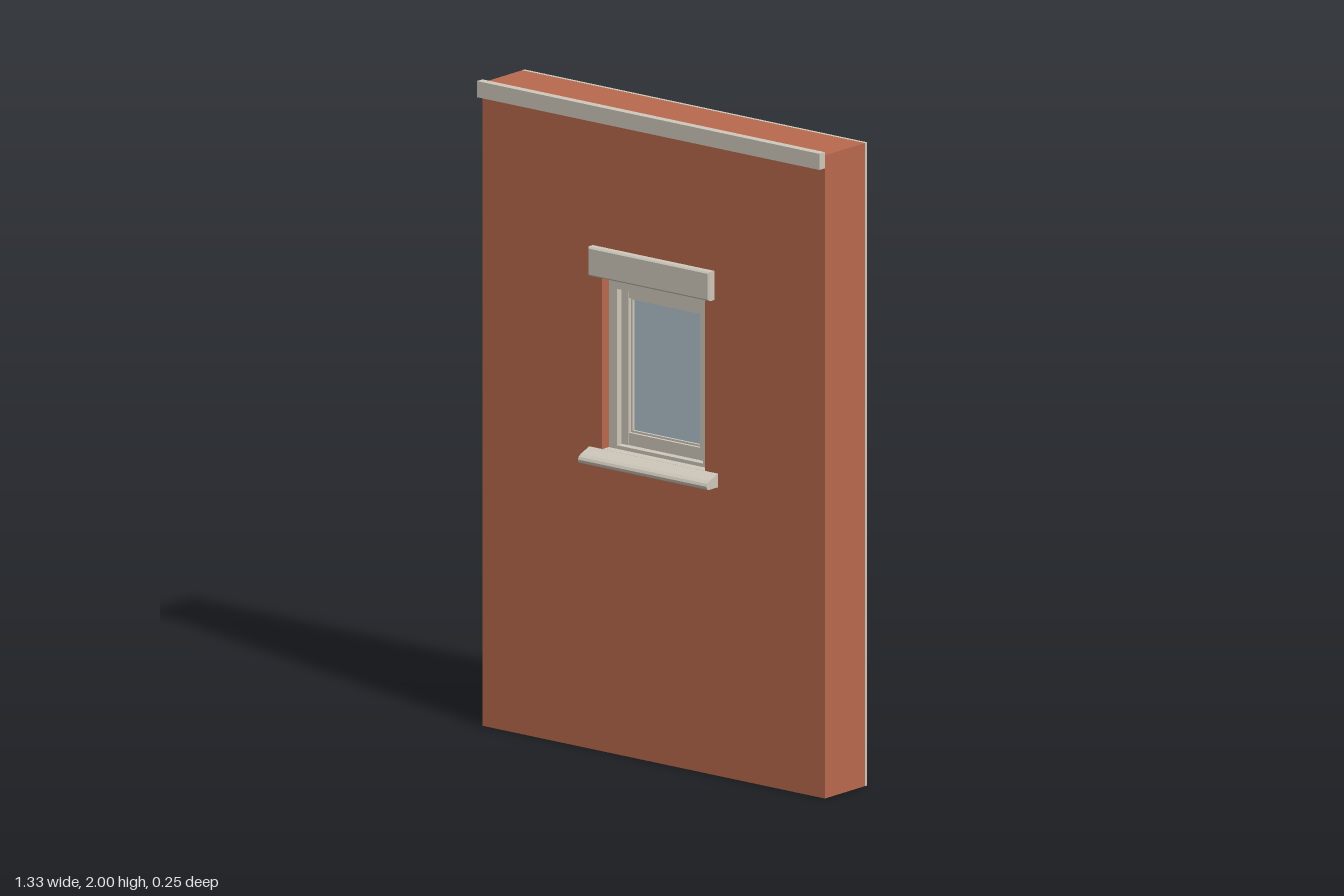
import * as THREE from 'three';

const mat = (name, color) => {
  const m = new THREE.MeshStandardMaterial({ color });
  m.name = name;
  return m;
};

export function createModel() {
  const brick = mat('brick red', 0xb9694d);
  const stone = mat('pale stone', 0xcfc8bb);
  const glass = mat('window glass', 0xb4c5ce);
  const model = new THREE.Group();
  model.name = 'wallWithWindow';

  const add = (name, geometry, material, parent = model) => {
    const mesh = new THREE.Mesh(geometry, material);
    mesh.name = name;
    parent.add(mesh);
    return mesh;
  };

  // Box given by its limits on each axis
  const box = (name, [x0, x1], [y0, y1], [z0, z1], material, parent) =>
    add(name, new THREE.BoxGeometry(x1 - x0, y1 - y0, z1 - z0), material, parent)
      .position.set((x0 + x1) / 2, (y0 + y1) / 2, (z0 + z1) / 2);

  const rectangle = (Type, [x0, x1], [y0, y1]) => new Type([
    [x0, y0], [x1, y0], [x1, y1], [x0, y1],
  ].map(([x, y]) => new THREE.Vector2(x, y)));

  // Upright slab with a rectangular opening
  const slab = (name, outer, inner, [z0, z1], material, parent) => {
    const shape = rectangle(THREE.Shape, ...outer);
    shape.holes.push(rectangle(THREE.Path, ...inner));
    const g = new THREE.ExtrudeGeometry(shape, { depth: z1 - z0, bevelEnabled: false });
    add(name, g.translate(0, 0, z0), material, parent);
  };

  // Side profile of [z, y] points swept along x
  const sweep = (name, points, width, material) => {
    const shape = new THREE.Shape(points.map(([z, y]) => new THREE.Vector2(-z, y)));
    const g = new THREE.ExtrudeGeometry(shape, { depth: width, bevelEnabled: false });
    add(name, g.translate(0, 0, -width / 2).rotateY(Math.PI / 2), material);
  };

  // Brick wall and inner plaster, both cut by the window opening
  const wall = [[-0.665, 0.665], [0, 1.99]];
  const opening = [[-0.2, 0.2], [0.93, 1.47]];
  slab('brickWall', wall, opening, [-0.115, 0.072], brick);
  slab('innerPlaster', wall, opening, [-0.126, -0.115], stone);

  // Coping strip along the top front edge
  box('copingStrip', [-0.665, 0.665], [1.95, 2], [0.072, 0.098], stone);

  // Lintel with slightly softened front edges
  const lintel = new THREE.ExtrudeGeometry(
    rectangle(THREE.Shape, [-0.231, 0.231], [1.475, 1.555]),
    { depth: 0.021, bevelThickness: 0.005, bevelSize: 0.005, bevelSegments: 1 });
  add('lintel', lintel.translate(0, 0, 0.072), stone);

  // Sloping sill with a rounded nose, and its tongue inside the opening
  sweep('sill', [
    [0.072, 0.893], [0.118, 0.893], [0.124, 0.897], [0.126, 0.905],
    [0.122, 0.913], [0.112, 0.92], [0.072, 0.935],
  ], 0.5, stone);
  box('sillTongue', [-0.199, 0.199], [0.929, 0.935], [0.03, 0.073], stone);

  // Fixed frame set back in the opening
  const win = new THREE.Group();
  win.name = 'window';
  model.add(win);
  slab('windowFrame', [[-0.199, 0.199], [0.931, 1.465]],
    [[-0.167, 0.167], [0.946, 1.43]], [-0.056, 0.042], stone, win);

  // Sash: stiles run full height, rails fit between them
  for (const side of [-1, 1]) {
    const xs = [side * 0.139, side * 0.166].sort((a, b) => a - b);
    box(side < 0 ? 'rightStile' : 'leftStile', xs, [0.947, 1.429], [-0.034, 0.022], stone, win);
  }
  box('bottomRail', [-0.139, 0.139], [0.947, 0.985], [-0.032, 0.02], stone, win);
  box('topRail', [-0.139, 0.139], [1.402, 1.429], [-0.032, 0.02], stone, win);

  // Thin glazing bead around the pane
  slab('glazingBead', [[-0.139, 0.139], [0.985, 1.402]],
    [[-0.133, 0.133], [0.991, 1.396]], [-0.018, 0.01], stone, win);
  box('glassPane', [-0.135, 0.135], [0.989, 1.398], [-0.006, 0.002], glass, win);

  return model;
}
